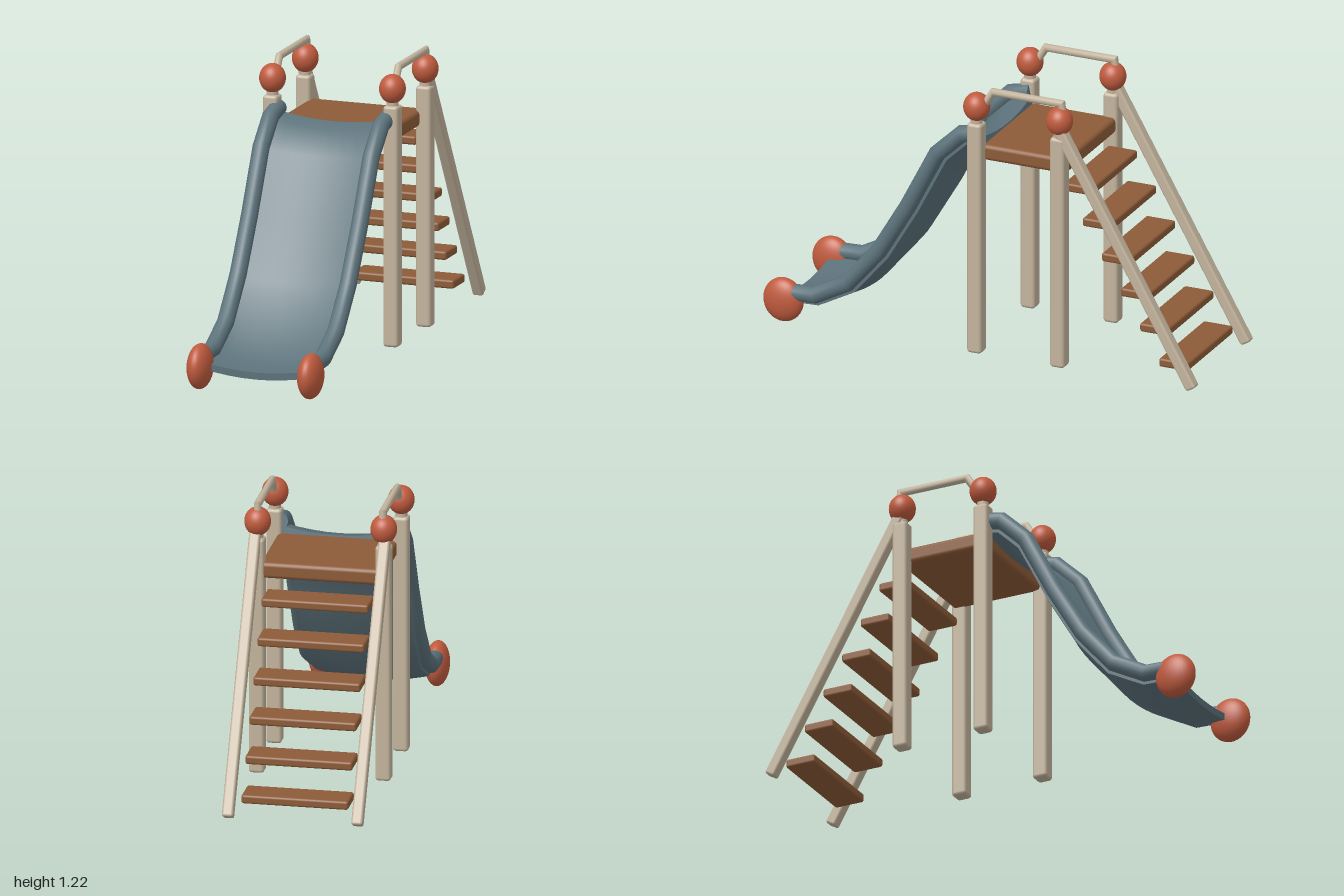
import * as THREE from 'three';
import { toCreasedNormals } from 'three/addons/utils/BufferGeometryUtils.js';
import { RoundedBoxGeometry } from 'three/addons/geometries/RoundedBoxGeometry.js';

const material = (name, color) => {
  const m = new THREE.MeshStandardMaterial({ color });
  m.name = name;
  return m;
};

// Sweeps a closed (x, normal) outline along a mitred (z, y) path, with flat end caps.
function sweep(outline, path) {
  const n = outline.length, pos = [], idx = [];
  const pts = path.map(([z, y]) => new THREE.Vector2(z, y));
  pts.forEach((p, i) => {
    const a = pts[Math.max(i - 1, 0)], b = pts[Math.min(i + 1, pts.length - 1)];
    const d1 = (i ? p.clone().sub(a) : b.clone().sub(p)).normalize();
    const d2 = (i < pts.length - 1 ? b.clone().sub(p) : d1.clone()).normalize();
    const t = d1.clone().add(d2).normalize();
    const stretch = 1 / t.dot(d1);
    for (const [x, h] of outline) pos.push(x, p.y + t.x * h * stretch, p.x - t.y * h * stretch);
  });
  for (let i = 0; i < pts.length - 1; i++) {
    for (let j = 0; j < n; j++) {
      const a = i * n + j, b = i * n + (j + 1) % n;
      idx.push(a, b, a + n, b, b + n, a + n);
    }
  }
  const end = (pts.length - 1) * n;
  const cap = THREE.ShapeUtils.triangulateShape(outline.map(([x, h]) => new THREE.Vector2(x, h)), []);
  for (const [a, b, c] of cap) idx.push(c, b, a, end + a, end + b, end + c);
  const g = new THREE.BufferGeometry();
  g.setAttribute('position', new THREE.Float32BufferAttribute(pos, 3));
  g.setIndex(idx);
  return toCreasedNormals(g, 0.9);
}

const circle = (r, sides, cx = 0) => Array.from({ length: sides }, (_, i) => {
  const a = (i / sides) * Math.PI * 2;
  return [cx + Math.cos(a) * r, Math.sin(a) * r];
});

export function createModel() {
  const group = new THREE.Group();
  group.name = 'playgroundSlide';
  const beige = material('beige timber', 0xc3b49d);
  const brown = material('brown planks', 0x8d5b38);
  const blue = material('blue grey slide', 0x5c727b);
  const red = material('terracotta knobs', 0xc05b3e);

  const add = (name, geometry, mat, x = 0, y = 0, z = 0) => {
    const mesh = new THREE.Mesh(geometry, mat);
    mesh.name = name;
    mesh.position.set(x, y, z);
    group.add(mesh);
    return mesh;
  };
  const box = (w, h, d, r) => new RoundedBoxGeometry(w, h, d, 2, r);
  const ball = new THREE.SphereGeometry(1, 32, 20);

  // Slide centre line as (z, y)
  const slidePath = [[0, 1.005], [0.093, 0.985], [0.205, 0.878], [0.34, 0.615],
    [0.473, 0.39], [0.617, 0.22], [0.767, 0.14], [0.91, 0.135]];

  for (const [side, s] of [['left', 1], ['right', -1]]) {
    // Posts with knobs
    for (const [end, z] of [['Front', 0.015], ['Back', -0.365]]) {
      add(side + end + 'Post', box(0.066, 1.035, 0.066, 0.014), beige, s * 0.269, 0.5425, z);
      add(side + end + 'Neck', new THREE.CylinderGeometry(0.025, 0.025, 0.08, 16), beige, s * 0.269, 1.06, z);
      add(side + end + 'Knob', ball, red, s * 0.268, 1.13, z).scale.set(0.056, 0.062, 0.057);
    }

    // Handrail bent down into both knobs
    add(side + 'Handrail', sweep(circle(0.0165, 10, s * 0.266),
      [[-0.383, 1.13], [-0.373, 1.207], [-0.06, 1.207], [-0.005, 1.12]].map(([z, y]) => [z, y])), beige);

    // Sloping ladder side
    const top = new THREE.Vector2(-0.36, 1.11), foot = new THREE.Vector2(-0.978, 0.03);
    const run = foot.clone().sub(top);
    const rail = add(side + 'LadderRail', box(0.048, run.length(), 0.048, 0.01), beige,
      s * 0.275, (top.y + foot.y) / 2, (top.x + foot.x) / 2);
    rail.rotation.x = Math.atan2(run.x, run.y);

    // Rounded slide edge and its foot
    add(side + 'SlideEdge', sweep(circle(0.036, 14, s * 0.246), slidePath), blue);
    add(side + 'SlideFoot', ball, red, s * 0.247, 0.097, 0.91).scale.set(0.051, 0.097, 0.09);
  }

  // Sagging slide bed
  const bed = [], steps = 8;
  const sag = (x) => 0.027 * (1 - (x / 0.24) ** 2);
  for (let i = 0; i <= steps; i++) {
    const x = -0.24 + (0.48 * i) / steps;
    bed.push([x, -0.048 - sag(x)]);
  }
  for (let i = steps; i >= 0; i--) {
    const x = -0.24 + (0.48 * i) / steps;
    bed.push([x, -0.018 - sag(x)]);
  }
  add('slideBed', sweep(bed, slidePath), blue);

  // Platform and ladder steps
  add('platform', box(0.51, 0.07, 0.41, 0.018), brown, 0, 0.92, -0.185);
  for (let i = 0; i < 6; i++) {
    add('ladderStep', box(0.455, 0.038, 0.135, 0.01), brown, 0, 0.815 - i * 0.1435, -0.43 - i * 0.0875);
  }
  return group;
}
